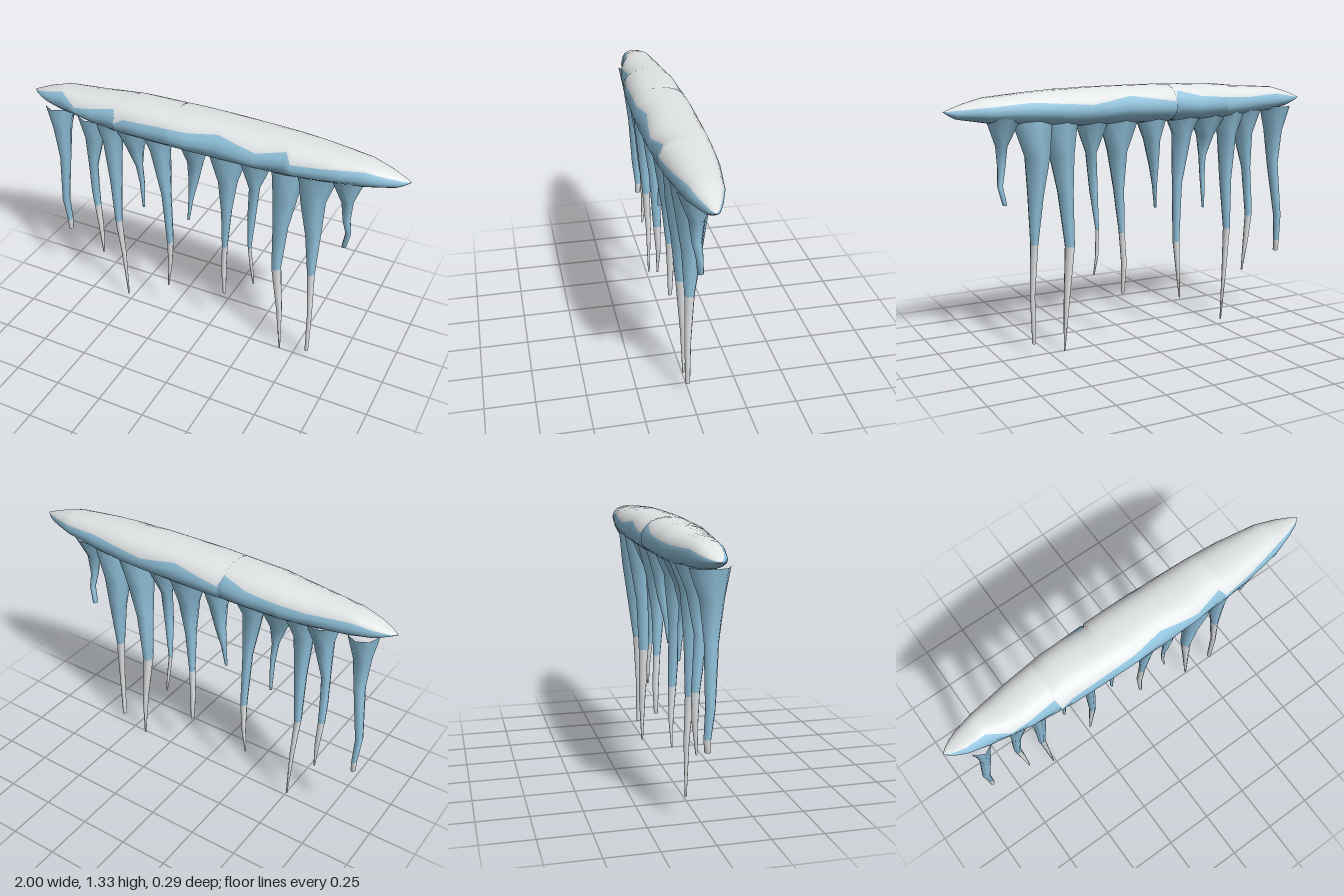
import * as THREE from 'three';

const ice = new THREE.MeshStandardMaterial({ color: 0x93c5df });
ice.name = 'paleBlueIce';
const snow = new THREE.MeshStandardMaterial({ color: 0xe2e5e6 });
snow.name = 'frostWhite';

// Skin over closed rings of points; isSnow(ring, column) picks the colour of each quad
function loft(name, rings, isSnow) {
  const n = rings[0].length;
  const lists = [[], []];
  for (let i = 0; i < rings.length - 1; i++) {
    for (let j = 0; j < n; j++) {
      const k = (j + 1) % n;
      const a = i * n + j, b = a + n, c = (i + 1) * n + k, d = i * n + k;
      lists[isSnow(i, j) ? 1 : 0].push(a, b, c, a, c, d);
    }
  }
  const geo = new THREE.BufferGeometry();
  geo.setAttribute('position', new THREE.Float32BufferAttribute(rings.flat(2), 3));
  geo.setIndex([...lists[0], ...lists[1]]);
  geo.addGroup(0, lists[0].length, 0);
  geo.addGroup(lists[0].length, lists[1].length, 1);
  geo.computeVertexNormals();
  const mesh = new THREE.Mesh(geo, [ice, snow]);
  mesh.name = name;
  return mesh;
}

// Linear lookup through [x, value] pairs
function lerpTable(table, x) {
  for (let i = 1; i < table.length; i++) {
    const [x0, v0] = table[i - 1], [x1, v1] = table[i];
    if (x <= x1) return v0 + (v1 - v0) * (x - x0) / (x1 - x0);
  }
  return table[table.length - 1][1];
}

// Long ledge with pointed ends, snow on top and ice beneath
function ledge() {
  const width = [[-1, 0], [-0.96, 0.035], [-0.9, 0.06], [-0.8, 0.085], [-0.6, 0.117], [-0.4, 0.138],
    [0, 0.149], [0.4, 0.138], [0.6, 0.122], [0.8, 0.09], [0.9, 0.056], [0.97, 0.025], [1, 0]];
  const top = [[-1, 1.23], [-0.9, 1.268], [-0.8, 1.295], [-0.6, 1.306], [-0.4, 1.325], [0, 1.33],
    [0.4, 1.325], [0.6, 1.312], [0.8, 1.295], [0.9, 1.27], [1, 1.235]];
  const bottom = [[-1, 1.23], [-0.9, 1.19], [-0.8, 1.17], [-0.5, 1.14], [0.4, 1.14], [0.8, 1.175],
    [0.95, 1.2], [1, 1.235]];
  const frontLine = [[-1, 1.23], [-0.8, 1.285], [-0.7, 1.24], [-0.47, 1.29], [-0.455, 1.23], [-0.4, 1.262],
    [-0.05, 1.28], [0.1, 1.3], [0.3, 1.265], [0.44, 1.295], [0.47, 1.25], [0.8, 1.272], [1, 1.235]];
  const backLine = [[-1, 1.23], [-0.8, 1.26], [-0.55, 1.25], [-0.3, 1.27], [-0.17, 1.3], [-0.15, 1.25],
    [0.1, 1.285], [0.3, 1.25], [0.6, 1.27], [0.85, 1.25], [1, 1.235]];
  const stations = [-1, -0.97, -0.94, -0.9, -0.85, -0.8, -0.7, -0.6, -0.47, -0.455, -0.4, -0.3, -0.17, -0.15,
    -0.05, 0.1, 0.2, 0.3, 0.44, 0.47, 0.6, 0.7, 0.8, 0.85, 0.9, 0.94, 0.97, 0.99, 1];
  const snowCols = 10, iceCols = 14;

  const rings = stations.map((x) => {
    const w = lerpTable(width, x), t = lerpTable(top, x), b = lerpTable(bottom, x);
    const mid = b + (t - b) * 0.45;
    const angle = (line) => t - mid < 1e-4 ? 0.3
      : Math.asin(THREE.MathUtils.clamp((lerpTable(line, x) - mid) / (t - mid), 0, 0.85));
    const start = angle(frontLine), end = Math.PI - angle(backLine);
    const ring = [];
    for (let j = 0; j < snowCols + iceCols; j++) {
      const a = j < snowCols ? start + (end - start) * j / snowCols
        : end + (start + 2 * Math.PI - end) * (j - snowCols) / iceCols;
      const c = Math.cos(a), s = Math.sin(a);
      const z = w * Math.sign(c) * Math.pow(Math.abs(c), s > 0 ? 0.8 : 1);
      ring.push([x, mid + s * (s > 0 ? t - mid : mid - b), z]);
    }
    return ring;
  });
  return loft('snowyLedge', rings, (i, j) => j < snowCols);
}

// Tapering icicle from rows of [y, left edge, right edge]; rows past frostFrom are white
function icicle(frostFrom, bend, rows) {
  const sides = 8;
  const rings = rows.map(([y, x0, x1], i) => {
    const cx = (x0 + x1) / 2, r = (x1 - x0) / 2;
    const rz = Math.min(0.1, Math.max(r * 1.25, 0.005));
    const cz = bend * Math.sin(i * 1.1);
    return Array.from({ length: sides }, (_, j) => {
      const a = j / sides * Math.PI * 2;
      return [cx + r * Math.cos(a), y, cz - rz * Math.sin(a)];
    });
  });
  // closed tip
  const last = rows[rows.length - 1];
  rings.push(rings[0].map(() => [(last[1] + last[2]) / 2, last[0], bend * Math.sin((rows.length - 1) * 1.1)]));
  return loft('icicle', rings, (i) => i >= frostFrom);
}

export function createModel() {
  const group = new THREE.Group();
  group.name = 'icicleLedge';
  const icicles = new THREE.Group();
  icicles.name = 'icicles';
  icicles.add(
    icicle(4, 0.012, [[1.19, -0.92, -0.77], [1.05, -0.89, -0.8], [0.87, -0.875, -0.82], [0.58, -0.9, -0.862],
      [0.44, -0.888, -0.86], [0.38, -0.885, -0.86]]),
    icicle(4, 0.012, [[1.18, -0.73, -0.56], [1.05, -0.695, -0.6], [0.86, -0.695, -0.65], [0.7, -0.7, -0.66],
      [0.6, -0.698, -0.664], [0.45, -0.68, -0.655], [0.29, -0.66, -0.652]]),
    icicle(3, 0.01, [[1.18, -0.63, -0.44], [1.05, -0.59, -0.495], [0.81, -0.57, -0.51], [0.54, -0.565, -0.53],
      [0.31, -0.543, -0.52], [0.03, -0.519, -0.512]]),
    icicle(9, 0.012, [[1.18, -0.53, -0.3], [1.05, -0.45, -0.365], [0.94, -0.41, -0.375], [0.83, -0.4, -0.375],
      [0.67, -0.396, -0.384]]),
    icicle(3, 0.01, [[1.18, -0.37, -0.16], [1.07, -0.315, -0.215], [0.81, -0.265, -0.215], [0.5, -0.248, -0.214],
      [0.33, -0.25, -0.23], [0.19, -0.257, -0.25]]),
    icicle(9, -0.012, [[1.18, -0.16, 0.01], [1.05, -0.12, -0.035], [0.92, -0.115, -0.065], [0.81, -0.115, -0.09],
      [0.69, -0.118, -0.106]]),
    icicle(3, 0.01, [[1.18, -0.01, 0.22], [1.0, 0.06, 0.16], [0.81, 0.075, 0.13], [0.58, 0.075, 0.105],
      [0.42, 0.068, 0.096], [0.26, 0.08, 0.097]]),
    icicle(3, 0.015, [[1.18, 0.16, 0.35], [1.0, 0.225, 0.28], [0.81, 0.22, 0.262], [0.61, 0.22, 0.238],
      [0.48, 0.23, 0.246], [0.38, 0.25, 0.257]]),
    icicle(3, 0.01, [[1.18, 0.33, 0.52], [1.0, 0.35, 0.475], [0.81, 0.355, 0.435], [0.54, 0.355, 0.405],
      [0.26, 0.39, 0.42], [0, 0.416, 0.424]]),
    icicle(3, -0.01, [[1.18, 0.46, 0.67], [1.0, 0.485, 0.61], [0.81, 0.52, 0.6], [0.57, 0.548, 0.588],
      [0.31, 0.567, 0.593], [0.06, 0.568, 0.588]]),
    icicle(9, 0.012, [[1.2, 0.62, 0.8], [1.06, 0.69, 0.75], [0.95, 0.705, 0.743], [0.87, 0.722, 0.75],
      [0.78, 0.706, 0.73]]),
  );
  group.add(ledge(), icicles);
  return group;
}
